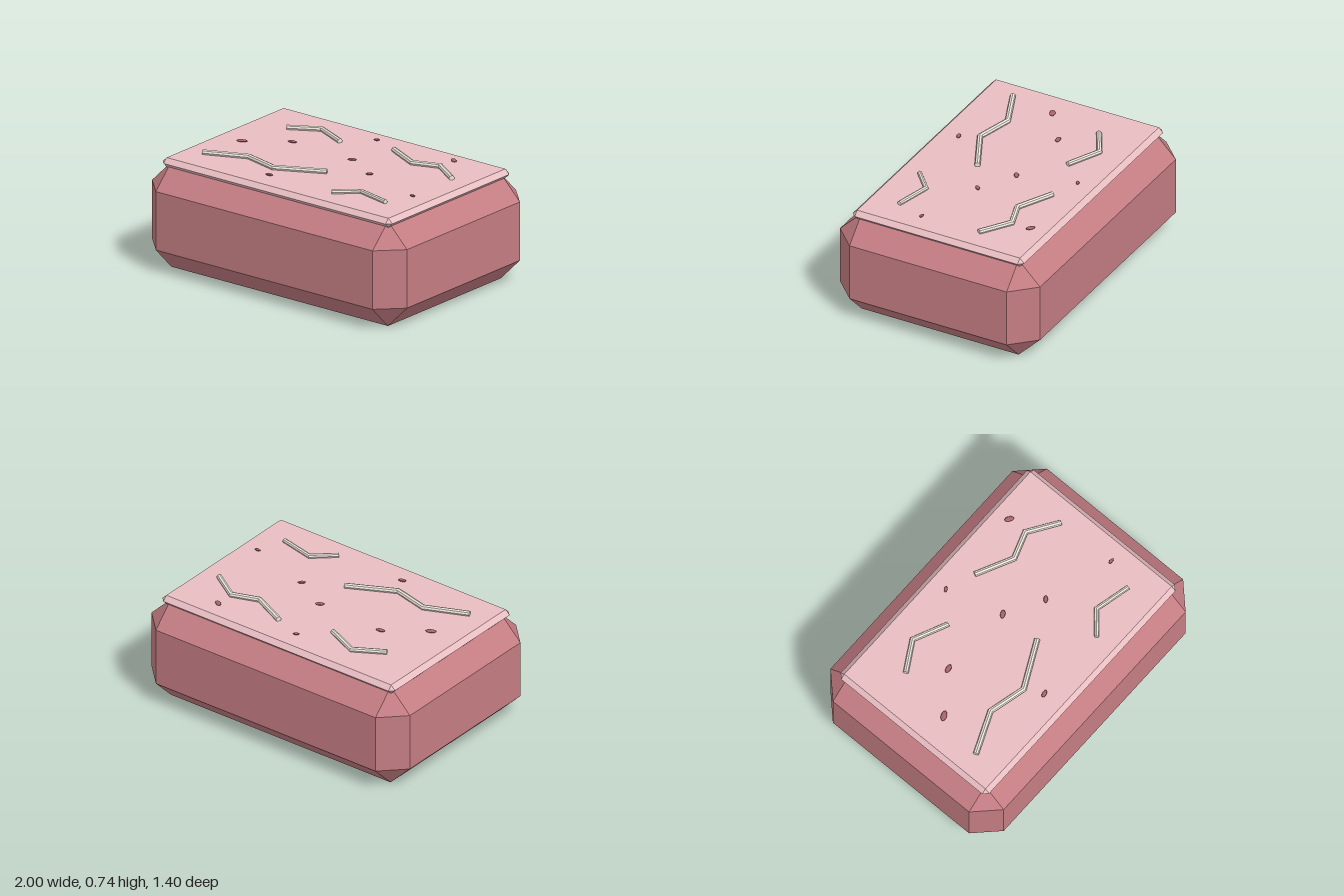
import * as THREE from 'three';
import { ConvexGeometry } from 'three/addons/geometries/ConvexGeometry.js';

const BODY = 0xc47d83, SLAB = 0xe8bec2, STRAW = 0xece5da, SPECK = 0xa8646b;

function part(name, geometry, color) {
  const material = new THREE.MeshStandardMaterial({ color, flatShading: true });
  const mesh = new THREE.Mesh(geometry, material);
  mesh.name = name;
  return mesh;
}

// Box with every edge chamfered by c: rectangles at both ends, octagons between
function chamferedBox(hx, hz, y0, y1, c) {
  const points = [];
  const belts = y1 - y0 - 2 * c > 1e-4 ? [y0 + c, y1 - c] : [(y0 + y1) / 2];
  for (const sx of [-1, 1]) for (const sz of [-1, 1]) {
    for (const y of [y0, y1]) points.push(new THREE.Vector3(sx * (hx - c), y, sz * (hz - c)));
    for (const y of belts) {
      points.push(new THREE.Vector3(sx * hx, y, sz * (hz - c)));
      points.push(new THREE.Vector3(sx * (hx - c), y, sz * hz));
    }
  }
  return new ConvexGeometry(points);
}

// Rod bent along a flat [x, z] path, with mitred joints
function bentRod(path, r, y) {
  const n = path.length - 1;
  const pts = path.map(([x, z]) => new THREE.Vector2(x, z));
  const dirs = pts.slice(1).map((p, i) => p.clone().sub(pts[i]).normalize());
  const geometry = new THREE.CylinderGeometry(r, r, 1, 8, n);
  const pos = geometry.attributes.position;
  for (let i = 0; i < pos.count; i++) {
    const k = Math.round((0.5 - pos.getY(i)) * n);
    // the cylinder runs from its top (last point) to its base (first point)
    const j = n - k;
    const a = dirs[Math.max(j - 1, 0)], b = dirs[Math.min(j, n - 1)];
    const d = a.clone().add(b).normalize();
    const s = pos.getX(i) / d.dot(a);
    pos.setXYZ(i, pts[j].x - d.y * s, y + pos.getZ(i), pts[j].y + d.x * s);
  }
  geometry.computeVertexNormals();
  return geometry;
}

export function createModel() {
  const model = new THREE.Group();
  model.name = 'chamferedBlock';

  model.add(part('body', chamferedBox(1, 0.7, 0, 0.68, 0.15), BODY));
  model.add(part('topSlab', chamferedBox(0.9, 0.6, 0.65, 0.71, 0.03), SLAB));

  // Crooked pale strands lying on the slab
  const strands = new THREE.Group();
  strands.name = 'strands';
  const paths = [
    [0.017, [[-0.62, -0.29], [-0.43, -0.4], [-0.21, -0.3]]],
    [0.018, [[0.14, -0.39], [0.375, -0.275], [0.55, -0.335], [0.74, -0.21]]],
    [0.018, [[-0.74, 0.38], [-0.47, 0.265], [-0.23, 0.325], [0.07, 0.175]]],
    [0.015, [[0.32, 0.44], [0.455, 0.32], [0.69, 0.375]]],
  ];
  for (const [r, path] of paths) strands.add(part('strand', bentRod(path, r, 0.721), STRAW));
  model.add(strands);

  // Small flattened specks: x, z, half length, turn in degrees
  const specks = new THREE.Group();
  specks.name = 'specks';
  const spots = [
    [-0.05, -0.46, 0.02, 30], [0.55, -0.465, 0.031, -35], [-0.43, -0.11, 0.03, 10],
    [0.055, -0.09, 0.029, 30], [-0.68, 0.07, 0.035, 25], [0.3, 0.045, 0.025, 40],
    [0.75, 0.185, 0.02, 0], [-0.17, 0.44, 0.026, 15],
  ];
  for (const [x, z, half, turn] of spots) {
    const speck = part('speck', new THREE.SphereGeometry(1, 10, 6), SPECK);
    speck.scale.set(half, 0.007, half * 0.55);
    speck.rotation.y = THREE.MathUtils.degToRad(turn);
    speck.position.set(x, 0.722, z);
    specks.add(speck);
  }
  model.add(specks);
  return model;
}
